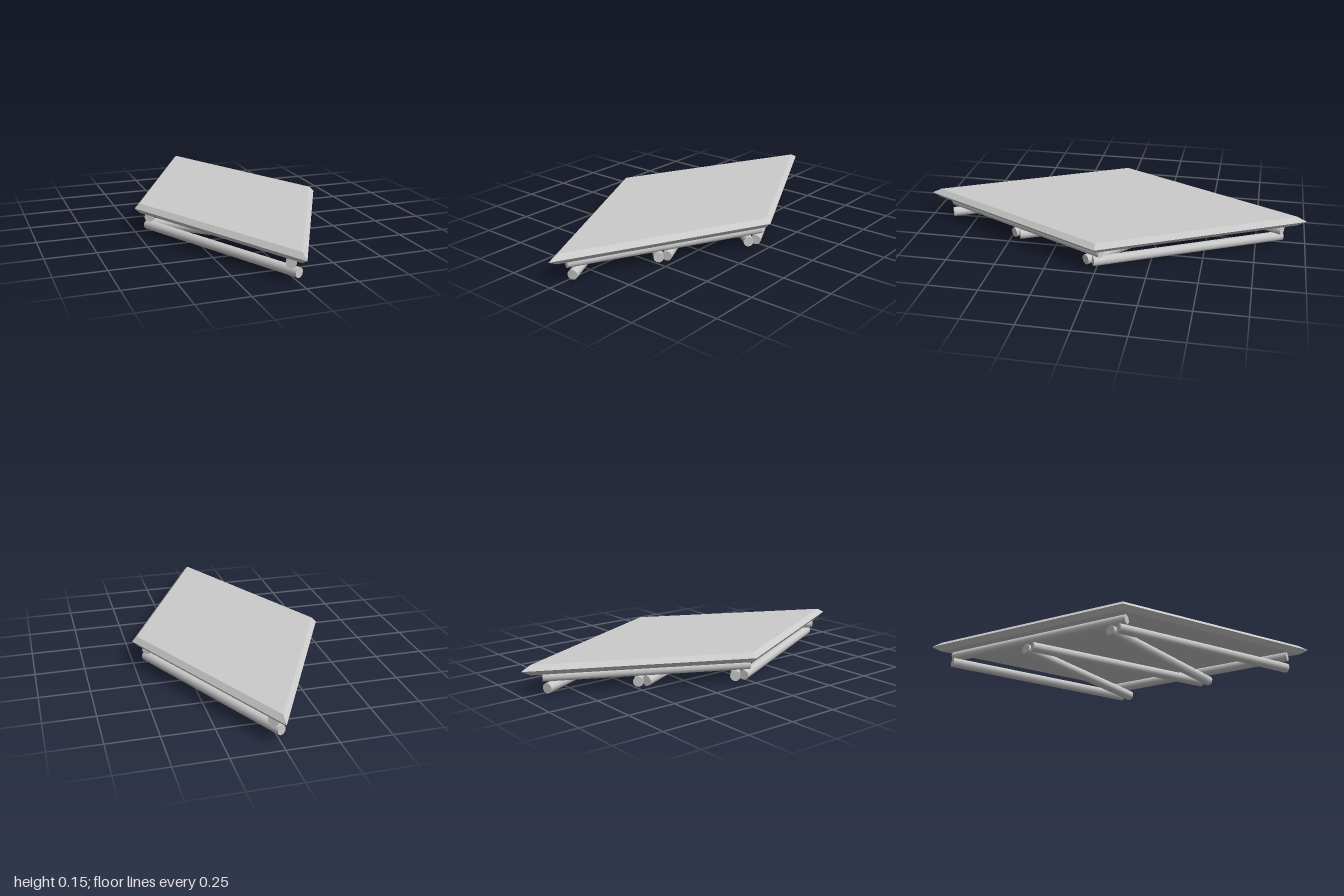
import * as THREE from 'three';

const material = new THREE.MeshStandardMaterial({ color: 0xcccccc });
const flatMaterial = new THREE.MeshStandardMaterial({ color: 0xcccccc, flatShading: true });

// A horizontal round pole between two [x, z] points at height y
function pole(name, [x1, z1], [x2, z2], y, radius) {
  const a = new THREE.Vector3(x1, y, z1);
  const b = new THREE.Vector3(x2, y, z2);
  const dir = b.clone().sub(a);
  const mesh = new THREE.Mesh(new THREE.CylinderGeometry(radius, radius, dir.length(), 10), material);
  mesh.position.copy(a).add(b).multiplyScalar(0.5);
  mesh.quaternion.setFromUnitVectors(new THREE.Vector3(0, 1, 0), dir.normalize());
  mesh.name = name;
  return mesh;
}

export function createModel() {
  const model = new THREE.Group();
  model.name = 'diamondPlatform';

  // Diamond slab with a ridge around its edge
  const profile = [[0, 0.1], [0.95, 0.1], [1, 0.125], [0.95, 0.15], [0, 0.15]]
    .map(([r, y]) => new THREE.Vector2(r, y));
  const slab = new THREE.LatheGeometry(profile, 4);
  slab.scale(0.5, 1, 1);
  const top = new THREE.Mesh(slab, flatMaterial);
  top.name = 'slab';
  model.add(top);

  // Poles come in pairs, turned half a circle about the centre
  for (const s of [1, -1]) {
    const p = (x, z) => [s * x, s * z];
    // Rail under the slab
    model.add(pole('rail', p(-0.02, 0.88), p(0.43, -0.02), 0.077, 0.025));
    // Outer crossbar below the rails
    model.add(pole('crossbar', p(0.02, 0.88), p(-0.43, -0.02), 0.028, 0.025));
    // Diagonal brace of the zigzag
    model.add(pole('diagonalBrace', p(0.195, 0.485), p(-0.415, -0.06), 0.026, 0.026));
  }
  // Middle crossbar
  model.add(pole('crossbar', [0.215, 0.45], [-0.215, -0.45], 0.028, 0.025));

  return model;
}
